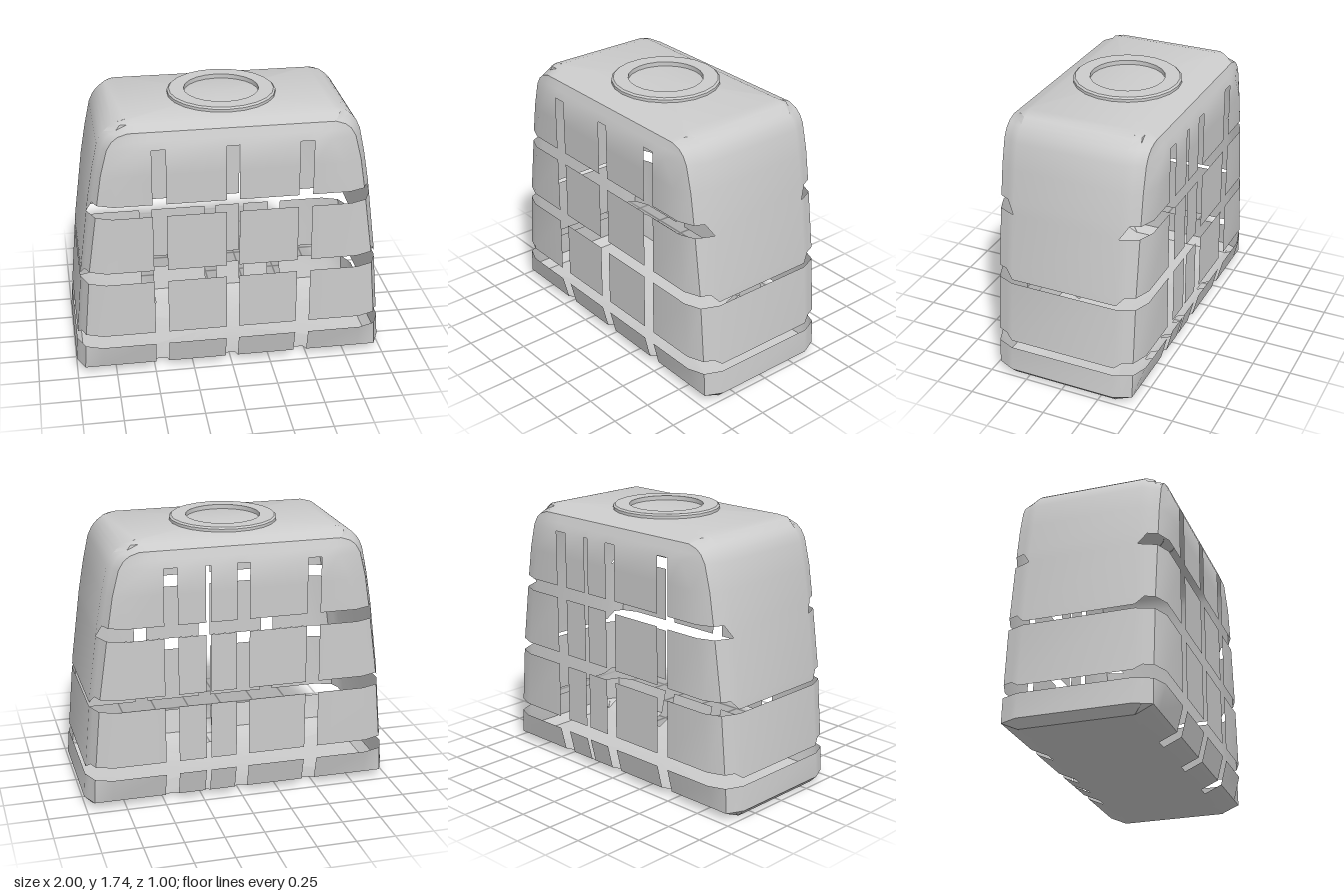
import * as THREE from 'three';
import { toCreasedNormals } from 'three/addons/utils/BufferGeometryUtils.js';

// Piecewise-linear lookup through [y, value] knots
function lookup(knots, y) {
  if (y <= knots[0][0]) return knots[0][1];
  for (let i = 1; i < knots.length; i++) {
    const [y0, v0] = knots[i - 1], [y1, v1] = knots[i];
    if (y <= y1) return v0 + (v1 - v0) * (y - y0) / (y1 - y0);
  }
  return knots[knots.length - 1][1];
}

// Half-width of the side wall, of the corner edge and of the flat face
const SIDE = [[0, 0.95], [0.05, 1], [0.21, 0.988], [0.295, 0.98], [0.745, 0.94], [1.2, 0.88],
  [1.4, 0.845], [1.56, 0.81], [1.61, 0.787], [1.64, 0.765], [1.66, 0.745], [1.69, 0.705], [1.71, 0.63]];
const EDGE = [[0, 0.94], [0.05, 0.95], [0.21, 0.942], [0.745, 0.895], [1.2, 0.83], [1.4, 0.798],
  [1.56, 0.757], [1.61, 0.727], [1.64, 0.69], [1.66, 0.63], [1.71, 0.62]];
const FACE = [[0, 0.84], [0.21, 0.835], [0.745, 0.79], [1.2, 0.73], [1.4, 0.69], [1.56, 0.6], [1.71, 0.58]];
const DEPTH = [[0, 0.35], [0.05, 0.46], [0.21, 0.5], [1.56, 0.5], [1.66, 0.46], [1.71, 0.35]];

const LEVELS = [0, 0.05, 0.21, 0.26, 0.295, 0.665, 0.69, 0.745, 1.12, 1.2, 1.4, 1.56, 1.61, 1.64, 1.66, 1.69, 1.71];
const SLOT_TOP = 1.56;
const GAPS = [[0.21, 0.26, 0.295], [0.665, 0.69, 0.745], [1.12, 1.12, 1.2]]; // bottom, side-wall top, face top
const FRONT_SLOTS = [0.495, 0.41, 0.04, -0.04, -0.41, -0.495];
const BACK_SLOTS = [-0.495, -0.41, -0.04, 0.04, 0.205, 0.235, 0.41, 0.495];

// Closed cross-section at height y, running +x, front, -x, back
function section(y) {
  const d = lookup(DEPTH, y), s = lookup(SIDE, y), e = lookup(EDGE, y);
  const corner = (sx, sz) => [
    [s, 0.35], [s + (e - s) * 0.45, 0.4], [e, 0.46], [lookup(FACE, y), 0.5],
  ].map(([x, z]) => [sx * x, y, sz * Math.min(z, d)]);
  return [
    ...corner(1, 1), ...FRONT_SLOTS.map((x) => [x, y, d]), ...corner(-1, 1).reverse(),
    ...corner(-1, -1), ...BACK_SLOTS.map((x) => [x, y, -d]), ...corner(1, -1).reverse(),
  ];
}

// What each segment of the section belongs to
function segmentKinds() {
  const face = (slots) => Array.from({ length: slots.length + 1 }, (_, i) => (i % 2 ? 'slot' : 'panel'));
  const half = (slots) => ['tip', 'corner', 'corner', ...face(slots), 'corner', 'corner', 'tip', 'side'];
  return [...half(FRONT_SLOTS), ...half(BACK_SLOTS)];
}

function shellGeometry() {
  const rings = LEVELS.map(section), kinds = segmentKinds(), n = kinds.length;
  const pos = [];
  const tri = (a, b, c) => pos.push(...a, ...b, ...c);
  for (let r = 0; r + 1 < rings.length; r++) {
    const y0 = LEVELS[r], y1 = LEVELS[r + 1];
    const gap = GAPS.find(([lo, , hi]) => y0 >= lo && y1 <= hi);
    for (let i = 0; i < n; i++) {
      const j = (i + 1) % n, kind = kinds[i];
      const a0 = rings[r][i], b0 = rings[r][j], a1 = rings[r + 1][i], b1 = rings[r + 1][j];
      if (kind === 'slot' && y1 <= SLOT_TOP) continue;
      if (gap) {
        if (kind !== 'side' && kind !== 'tip') continue;
        if (y1 <= gap[1]) continue;
        // the wall tapers to a point where the gap turns the corner
        if (kind === 'tip') {
          tri(Math.abs(a0[2]) < Math.abs(b0[2]) ? a0 : b0, a1, b1);
          const k = pos.length;
          if (Math.abs(a0[2]) > Math.abs(b0[2])) continue;
          pos.length = k;
          continue;
        }
      }
      tri(b0, a0, a1);
      tri(b0, a1, b1);
    }
  }
  // floor and roof
  const floor = rings[0], roof = rings[rings.length - 1];
  for (let i = 0; i < n; i++) {
    const j = (i + 1) % n;
    tri([0, LEVELS[0], 0], floor[i], floor[j]);
    tri([0, LEVELS[LEVELS.length - 1], 0], roof[j], roof[i]);
  }
  const g = new THREE.BufferGeometry();
  g.setAttribute('position', new THREE.Float32BufferAttribute(pos, 3));
  return toCreasedNormals(g, 0.55);
}

export function createModel() {
  const group = new THREE.Group();
  const material = new THREE.MeshStandardMaterial({ color: 0xcccccc, side: THREE.DoubleSide });

  // Tapered thin shell with slots on both faces and gaps around it
  const shell = new THREE.Mesh(shellGeometry(), material);
  shell.name = 'slottedShell';
  group.add(shell);

  // Raised ring on the roof
  const profile = [[0.235, 1.705], [0.235, 1.738], [0.328, 1.738], [0.34, 1.728], [0.34, 1.705]]
    .map(([x, y]) => new THREE.Vector2(x, y));
  const ring = new THREE.Mesh(toCreasedNormals(new THREE.LatheGeometry(profile.reverse(), 22), 0.5), material);
  ring.name = 'topRing';
  group.add(ring);

  return group;
}
